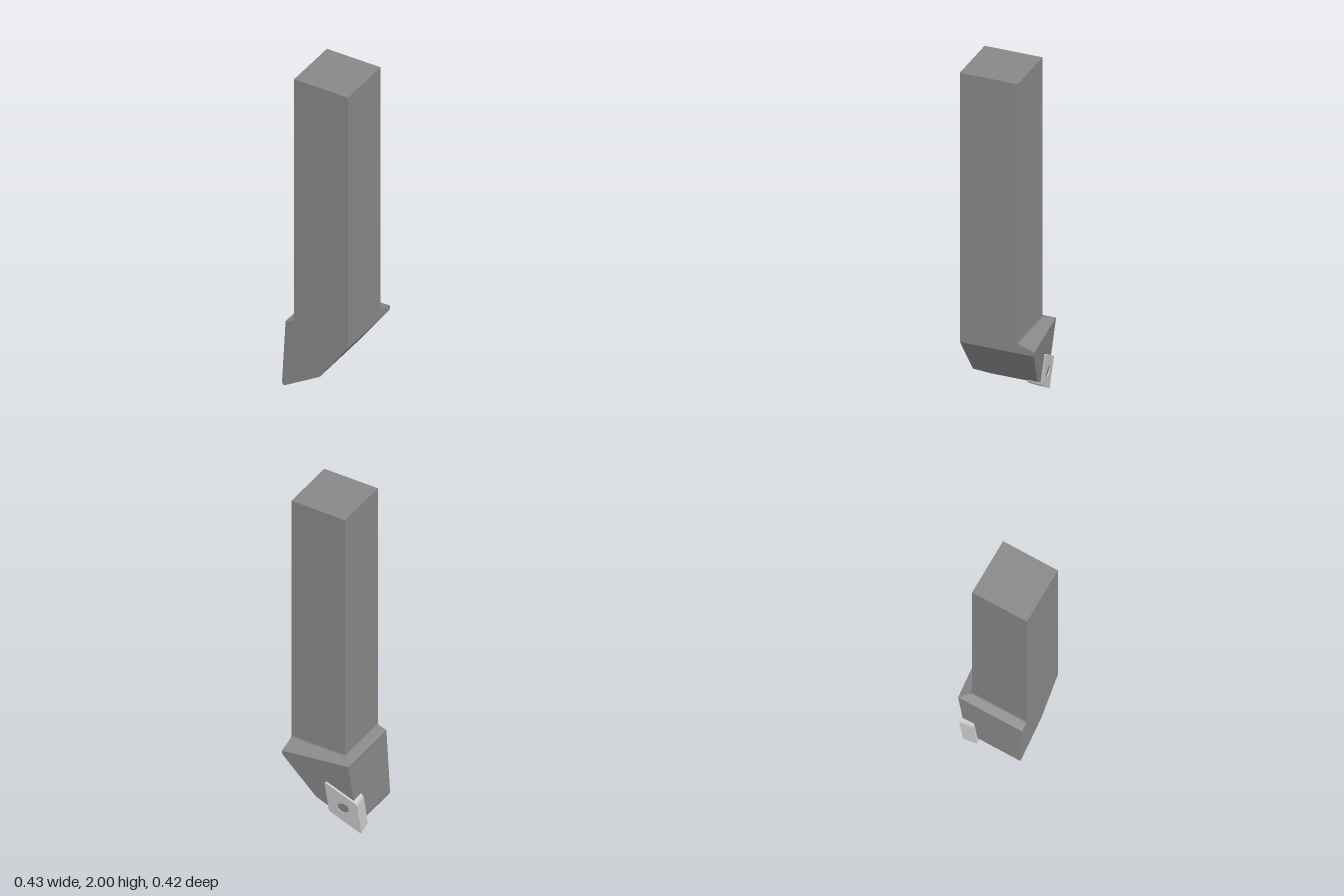
import * as THREE from 'three';

const STEEL = 0x888888, CARBIDE = 0xcccccc;
const paint = (color) => new THREE.MeshStandardMaterial({ color });

// Sloping plane of the head's back face
const backZ = (x, y) => -0.126 - 0.11 * x - 0.142 * y;
const RIGHT = 0.213, FRONT = 0.212;
const HOLE = { x: -0.121, y: 0.15, r: 0.032 };

// Flat-faced mesh from convex polygons, corners counter-clockwise from outside
function polyMesh(name, polys) {
  const pos = [];
  for (const p of polys)
    for (let i = 1; i < p.length - 1; i++) pos.push(...p[0], ...p[i], ...p[i + 1]);
  const g = new THREE.BufferGeometry();
  g.setAttribute('position', new THREE.Float32BufferAttribute(pos, 3));
  g.computeVertexNormals();
  const m = new THREE.Mesh(g, paint(STEEL));
  m.name = name;
  return m;
}

// Walls between stacked four-cornered rings (upper ring first)
function walls(rings) {
  const out = [];
  for (let k = 0; k < rings.length - 1; k++)
    for (let i = 0; i < 4; i++) {
      const j = (i + 1) % 4;
      out.push([rings[k + 1][i], rings[k + 1][j], rings[k][j], rings[k][i]]);
    }
  return out;
}

// Ring around the shank, grown by d on the left and back sides
const ring = (d, y) => [
  [-0.115 - d, y, FRONT], [RIGHT, y, FRONT],
  [RIGHT, y, -0.117 - d], [-0.115 - d, y, -0.117 - d],
];

// Rhombus with slightly rounded corners
function roundedRhombus(corners, r) {
  const s = new THREE.Shape();
  const pts = corners.map(([x, y]) => new THREE.Vector2(x, y));
  const toward = (a, b) => a.clone().add(b.clone().sub(a).setLength(r));
  pts.forEach((p, i) => {
    const a = toward(p, pts[(i + 3) % 4]);
    const b = toward(p, pts[(i + 1) % 4]);
    if (i) s.lineTo(a.x, a.y); else s.moveTo(a.x, a.y);
    s.quadraticCurveTo(p.x, p.y, b.x, b.y);
  });
  s.closePath();
  return s;
}

// Lay a geometry drawn in x, y and depth onto the sloping back plane
function seat(g, proud) {
  const p = g.attributes.position;
  for (let i = 0; i < p.count; i++) {
    const x = p.getX(i), y = p.getY(i), t = p.getZ(i);
    p.setXYZ(i, x + 0.11 * t, y + 0.142 * t, backZ(x, y) - proud + t);
  }
  g.computeVertexNormals();
  return g;
}

function circlePath(r) {
  return new THREE.Path().absarc(HOLE.x, HOLE.y, r, 0, Math.PI * 2, true);
}

export function createModel() {
  const model = new THREE.Group();

  // Square shank
  const top = ring(0, 2), foot = ring(0, 0.478);
  model.add(polyMesh('shank', [top, ...walls([top, foot])]));

  // Filleted, sloping shoulder
  const rim = [
    [-0.167, 0.45, FRONT], [RIGHT, 0.437, FRONT],
    [RIGHT, 0.437, backZ(RIGHT, 0.437)], [-0.167, 0.45, backZ(-0.167, 0.45)],
  ];
  model.add(polyMesh('shoulder',
    walls([foot, ring(0.002, 0.471), ring(0.006, 0.466), ring(0.012, 0.463), rim])));

  // Wedge-shaped head: front outline carried back to the sloping plane
  const outline = [
    [-0.167, 0.45], [-0.189, 0.06], [-0.186, 0.046], [-0.174, 0.041],
    [0.04, 0.17], [RIGHT, 0.411], [RIGHT, 0.437],
  ];
  const front = outline.map(([x, y]) => [x, y, FRONT]);
  const back = outline.map(([x, y]) => [x, y, backZ(x, y)]);
  const faces = [front];
  for (let i = 0; i < outline.length - 1; i++)
    faces.push([front[i], back[i], back[i + 1], front[i + 1]]);

  // Back face with the screw opening
  const shape = new THREE.Shape(outline.map(([x, y]) => new THREE.Vector2(x, y)));
  shape.holes.push(circlePath(HOLE.r + 0.004));
  const flat = new THREE.ShapeGeometry(shape, 24);
  const fp = flat.attributes.position, idx = flat.index.array;
  const corner = (i) => [fp.getX(i), fp.getY(i), backZ(fp.getX(i), fp.getY(i))];
  for (let i = 0; i < idx.length; i += 3)
    faces.push([corner(idx[i]), corner(idx[i + 2]), corner(idx[i + 1])]);
  model.add(polyMesh('head', faces));

  // Rhombic cutting insert with a screw hole
  const plate = roundedRhombus(
    [[-0.214, -0.003], [-0.036, 0.103], [-0.026, 0.304], [-0.204, 0.2]], 0.015);
  plate.holes.push(circlePath(HOLE.r));
  const insert = new THREE.Mesh(
    seat(new THREE.ExtrudeGeometry(plate, { depth: 0.08, bevelEnabled: false, curveSegments: 24 }), 0.012),
    paint(CARBIDE));
  insert.name = 'cuttingInsert';
  model.add(insert);

  // Screw head just below the insert's face
  const disc = new THREE.CircleGeometry(HOLE.r, 24).translate(HOLE.x, HOLE.y, 0.004);
  const screw = new THREE.Mesh(seat(disc, 0.012), paint(STEEL));
  screw.material.side = THREE.DoubleSide;
  screw.name = 'clampScrew';
  model.add(screw);

  return model;
}
